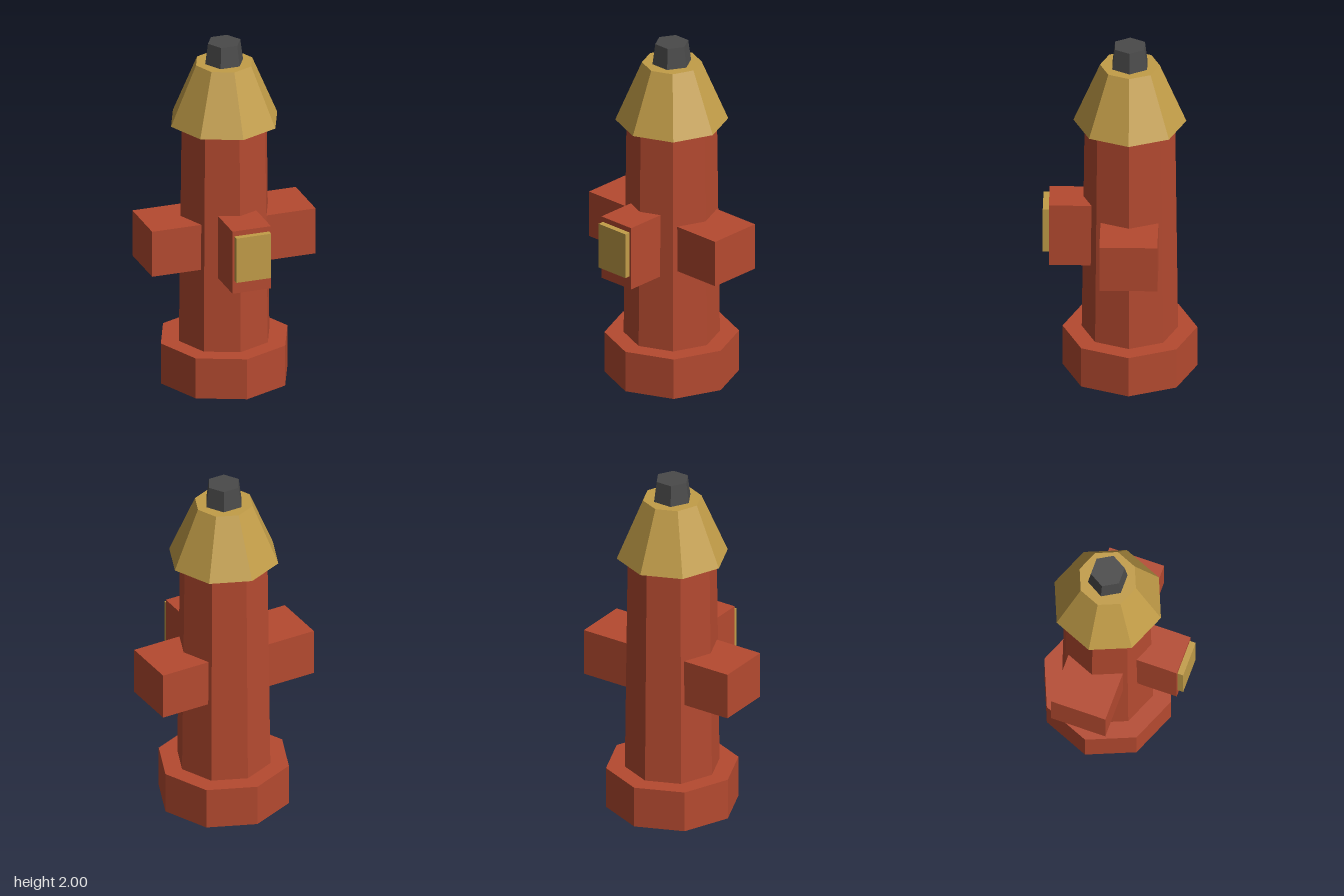
import * as THREE from 'three';

export function createModel() {
  const group = new THREE.Group();
  const AXIS_Z = -0.053; // centre line of the barrel

  const make = (name, hex) => {
    const m = new THREE.MeshStandardMaterial({ color: hex, flatShading: true, side: THREE.DoubleSide });
    m.name = name;
    return m;
  };
  const red = make('hydrant red', 0xb54a30);
  const gold = make('brass yellow', 0xc29d48);
  const grey = make('dark grey', 0x4a4a4a);

  const add = (name, geometry, material, x, y, z) => {
    const mesh = new THREE.Mesh(geometry, material);
    mesh.name = name;
    mesh.position.set(x, y, z);
    group.add(mesh);
    return mesh;
  };

  // Tapered prism between two heights, optionally open underneath
  const prism = (name, material, rTop, rBottom, y0, y1, sides, open = false) => {
    const geo = new THREE.CylinderGeometry(rTop, rBottom, y1 - y0, sides, 1, open);
    const mesh = add(name, geo, material, 0, (y0 + y1) / 2, AXIS_Z);
    if (open) {
      const lid = add(name + 'Top', new THREE.CircleGeometry(rTop, sides), material, 0, y1, AXIS_Z);
      lid.rotation.x = -Math.PI / 2;
    }
    return mesh;
  };

  // Box given by its extents
  const block = (name, material, x0, x1, y0, y1, z0, z1) =>
    add(name, new THREE.BoxGeometry(x1 - x0, y1 - y0, z1 - z0), material,
      (x0 + x1) / 2, (y0 + y1) / 2, (z0 + z1) / 2);

  // Octagonal foot, barrel and bonnet; foot and bonnet are hollow below
  prism('base', red, 0.372, 0.372, 0, 0.24, 8, true);
  prism('barrel', red, 0.25, 0.266, 0.238, 1.535, 8);
  prism('bonnet', gold, 0.165, 0.312, 1.533, 1.88, 8, true);

  // Hexagonal operating nut
  prism('topNut', grey, 0.095, 0.112, 1.875, 2, 6).rotation.y = Math.PI / 2;

  // Side outlets
  block('leftOutlet', red, 0.18, 0.48, 0.72, 0.99, -0.215, 0.105);
  block('rightOutlet', red, -0.48, -0.18, 0.72, 0.99, -0.215, 0.105);

  // Front outlet and its cap
  block('frontOutlet', red, -0.113, 0.113, 0.68, 1.053, 0.12, 0.392);
  block('frontOutletCap', gold, -0.102, 0.102, 0.757, 1.023, 0.388, 0.426);

  return group;
}
